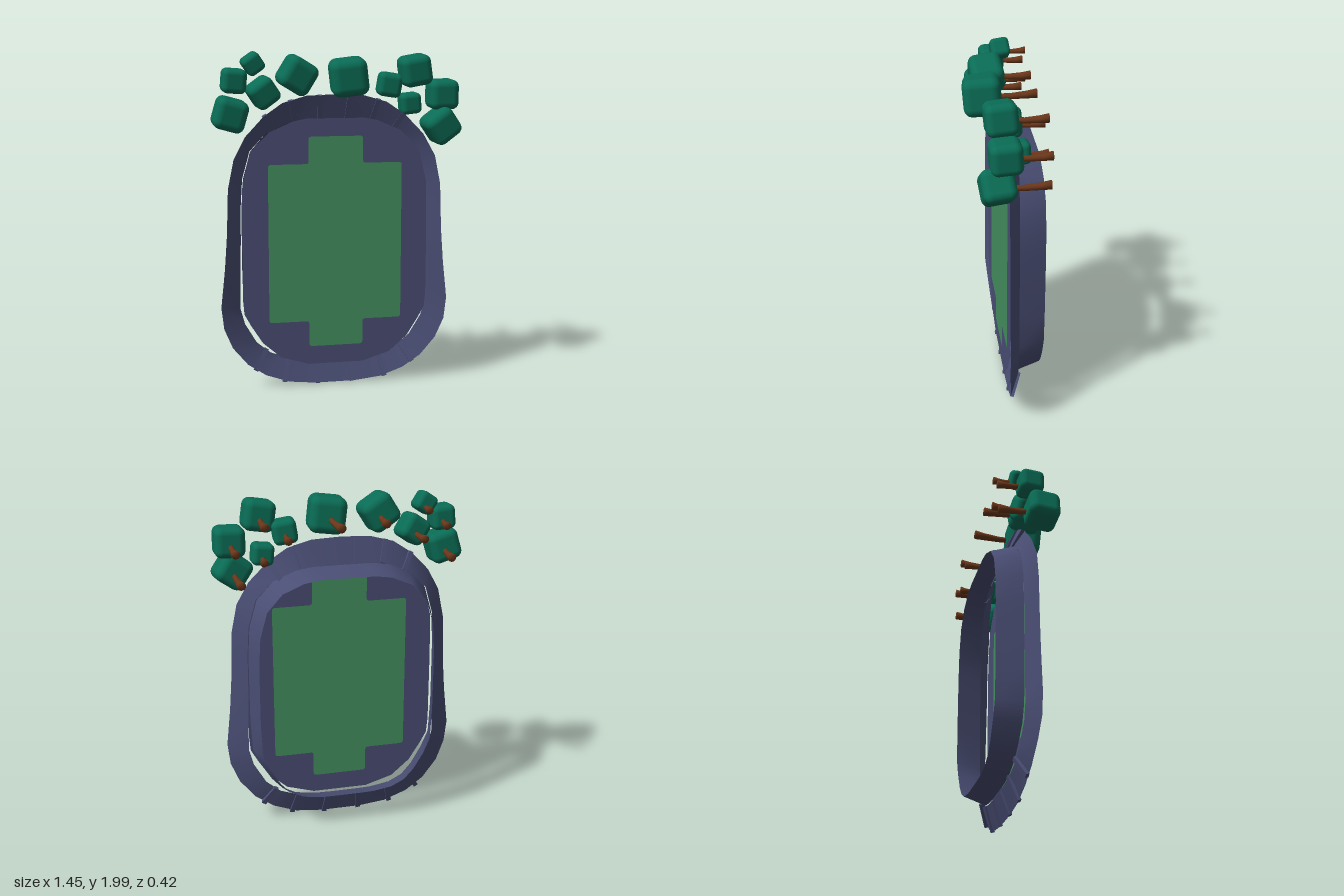
import * as THREE from 'three';
import { RoundedBoxGeometry } from 'three/addons/geometries/RoundedBoxGeometry.js';

const mat = (name, color, side = THREE.FrontSide) => {
  const m = new THREE.MeshStandardMaterial({ color, side });
  m.name = name;
  return m;
};

// Half outline (top centre to bottom centre) completed by mirroring in x
const mirror = (half) => [
  ...half,
  ...half.slice(1, -1).reverse().map(([x, y]) => [-x, y]),
];

// Open strip joining two closed loops of 3D points
function strip(a, b) {
  const n = a.length, idx = [];
  for (let i = 0; i < n; i++) {
    const j = (i + 1) % n;
    idx.push(i, n + i, j, j, n + i, n + j);
  }
  const g = new THREE.BufferGeometry();
  g.setAttribute('position', new THREE.Float32BufferAttribute([...a, ...b].flat(), 3));
  g.setIndex(idx);
  g.computeVertexNormals();
  return g;
}

// Flat outline with optional rounded corners
function outline(points, r = 0) {
  const s = new THREE.Shape();
  const v = points.map(([x, y]) => new THREE.Vector2(x, y));
  v.forEach((p, i) => {
    const prev = v[(i + v.length - 1) % v.length], next = v[(i + 1) % v.length];
    const a = p.clone().add(prev.clone().sub(p).setLength(r));
    const b = p.clone().add(next.clone().sub(p).setLength(r));
    if (i === 0) s.moveTo(a.x, a.y);
    else s.lineTo(a.x, a.y);
    if (r) s.quadraticCurveTo(p.x, p.y, b.x, b.y);
  });
  s.closePath();
  return s;
}

export function createModel() {
  const root = new THREE.Group();
  root.name = 'stadium';
  const stone = mat('slate stone', 0x4a4e74, THREE.DoubleSide);
  const grass = mat('pitch green', 0x449060, THREE.DoubleSide);
  const leaf = mat('leaf green', 0x0a6c55);
  const bark = mat('bark brown', 0x6b371a, THREE.DoubleSide);

  const add = (parent, name, geo, material) => {
    const m = new THREE.Mesh(geo, material);
    m.name = name;
    parent.add(m);
    return m;
  };

  // Bowl: flared outer band, and a tapered wall that leaves gaps at the lower corners
  const outer = mirror([
    [0, 1.757], [0.17, 1.75], [0.31, 1.71], [0.42, 1.635], [0.53, 1.52], [0.6, 1.39],
    [0.635, 1.22], [0.645, 0.95], [0.66, 0.75], [0.685, 0.52], [0.67, 0.39],
    [0.62, 0.27], [0.53, 0.16], [0.42, 0.085], [0.28, 0.035], [0.12, 0.018], [0, 0.018],
  ]);
  const inner = mirror([
    [0, 1.605], [0.17, 1.605], [0.27, 1.59], [0.4, 1.535], [0.5, 1.43], [0.545, 1.27],
    [0.556, 1.1], [0.558, 0.9], [0.563, 0.7], [0.567, 0.5], [0.54, 0.4],
    [0.47, 0.28], [0.385, 0.21], [0.3, 0.18], [0.17, 0.165], [0.08, 0.163], [0, 0.163],
  ]);
  const wallFront = mirror([
    [0, 1.605], [0.17, 1.605], [0.27, 1.59], [0.4, 1.535], [0.495, 1.43], [0.54, 1.27],
    [0.551, 1.1], [0.552, 0.9], [0.552, 0.7], [0.542, 0.5], [0.5, 0.4],
    [0.435, 0.295], [0.375, 0.23], [0.29, 0.188], [0.17, 0.17], [0.08, 0.168], [0, 0.168],
  ]);
  const dip = (y) => THREE.MathUtils.clamp((Math.abs(y - 0.89) - 0.5) / 0.35, 0, 1);
  const innerDepth = ([x, y]) => [x, y, -0.05 - 0.03 * dip(y)];
  const outer3 = outer.map(([x, y]) => [x, y, 0.013 - 0.033 * dip(y)]);
  const back3 = wallFront.map(([x, y]) => [x * 0.933, 0.885 + (y - 0.885) * 0.945, -0.2]);
  add(root, 'outerBand', strip(outer3, inner.map(innerDepth)), stone);
  add(root, 'wall', strip(wallFront.map(innerDepth), back3), stone);

  // Ground sheet with the cross-shaped pitch set into it
  const ground = outline(mirror([
    [0, 1.62], [0.17, 1.62], [0.25, 1.605], [0.39, 1.545], [0.505, 1.43], [0.55, 1.24],
    [0.556, 1.0], [0.556, 0.56], [0.548, 0.47], [0.51, 0.4], [0.44, 0.29],
    [0.33, 0.195], [0.165, 0.145], [0, 0.145],
  ]));
  const pitch = outline([
    [-0.16, 1.515], [-0.16, 1.355], [-0.4, 1.355], [-0.4, 0.41], [-0.16, 0.41], [-0.16, 0.255],
    [0.165, 0.255], [0.165, 0.41], [0.4, 0.41], [0.4, 1.355], [0.165, 1.355], [0.165, 1.515],
  ], 0.018);
  ground.holes.push(pitch);
  add(root, 'groundSheet', new THREE.ShapeGeometry(ground, 4), stone);
  add(root, 'pitch', new THREE.ShapeGeometry(pitch, 4), grass);

  // Ribs lying across the band at both ends: outer x, y, inner x, y
  const ribs = [
    [0.09, 1.752, 0.08, 1.61], [0.262, 1.725, 0.23, 1.6], [0.415, 1.64, 0.36, 1.545],
    [0.108, 0.016, 0.092, 0.155], [0.308, 0.035, 0.275, 0.18], [0.482, 0.118, 0.41, 0.235],
  ];
  for (const [ox, oy, ix, iy] of ribs) for (const s of [1, -1]) {
    const a = new THREE.Vector3(s * ox, oy, -0.02);
    const b = new THREE.Vector3(s * ix, iy, -0.07);
    const rib = add(root, 'rib', new THREE.BoxGeometry(0.028, 0.02, a.distanceTo(b)), stone);
    rib.position.copy(a).add(b).multiplyScalar(0.5);
    rib.up.set(0, 0, 1);
    rib.lookAt(b);
  }

  // Trees: x, y, z, crown size, turns about x, y, z, trunk foot x
  const trees = [
    [-0.62, 1.655, 0.04, 0.182, 0.08, 0.05, -0.28, -0.6],
    [-0.59, 1.84, -0.02, 0.14, 0.05, 0.05, -0.08, -0.565],
    [-0.475, 1.935, -0.058, 0.112, 0.1, 0.1, 0.6, -0.46],
    [-0.425, 1.773, 0, 0.155, 0.1, 0.15, 0.6, -0.437],
    [-0.235, 1.873, 0.047, 0.19, 0.1, 0.08, -0.55, -0.215],
    [0.055, 1.863, 0.1, 0.212, 0.08, -0.08, 0.13, 0.04],
    [0.323, 1.81, -0.015, 0.138, 0.05, -0.08, -0.15, 0.335],
    [0.46, 1.895, 0.045, 0.175, 0.08, 0.05, 0.17, 0.465],
    [0.457, 1.698, -0.05, 0.122, 0.05, 0.05, 0.1, 0.47],
    [0.628, 1.755, 0.04, 0.172, 0.06, 0.03, 0.02, 0.625],
    [0.61, 1.577, 0.08, 0.182, 0.08, 0.12, 0.62, 0.6],
  ];
  for (const [x, y, z, size, rx, ry, rz, footX] of trees) {
    const tree = new THREE.Group();
    tree.name = 'tree';
    root.add(tree);
    const crown = add(tree, 'crown', new RoundedBoxGeometry(size, size, size, 4, size * 0.24), leaf);
    crown.position.set(x, y, z);
    crown.rotation.set(rx, ry, rz);

    // Waisted trunk running back from the crown, slightly bent
    const len = z + 0.207, k = 0.7 + size * 1.8;
    const profile = [[0, 0], [0.025, 0], [0.02, 0.2], [0.016, 0.5], [0.014, 1]]
      .map(([r, t]) => new THREE.Vector2(r * k, t * len));
    const g = new THREE.LatheGeometry(profile, 10).rotateX(Math.PI / 2);
    const p = g.attributes.position;
    for (let i = 0; i < p.count; i++) {
      const t = p.getZ(i) / len;
      p.setX(i, p.getX(i) + (x - footX) * t);
      p.setY(i, p.getY(i) - 0.008 * Math.sin(t * Math.PI));
    }
    g.computeVertexNormals();
    add(tree, 'trunk', g, bark).position.set(footX, y - 0.01, -0.207);
  }
  return root;
}
